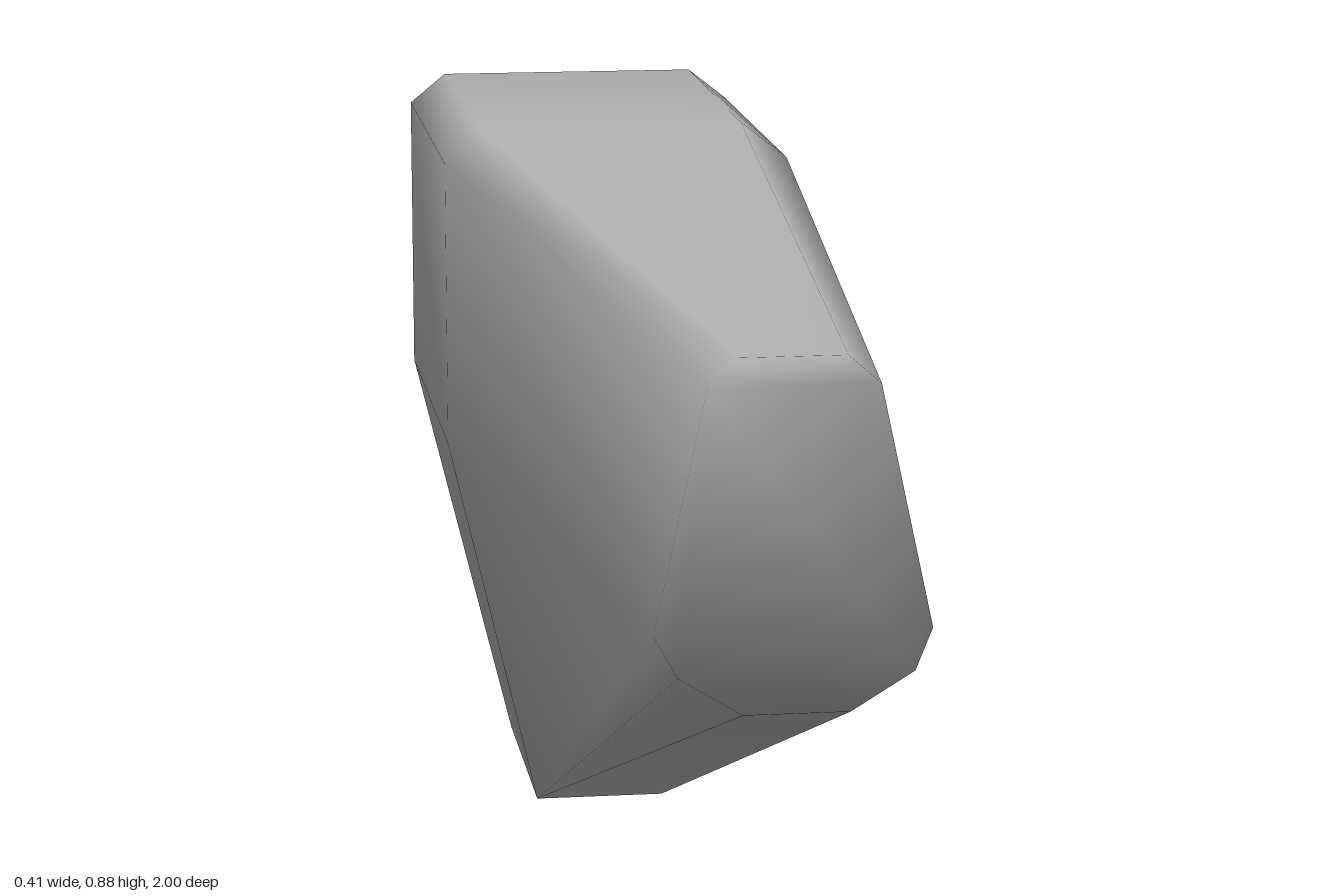
import * as THREE from 'three';
import { ConvexGeometry } from 'three/addons/geometries/ConvexGeometry.js';
import { mergeVertices } from 'three/addons/utils/BufferGeometryUtils.js';

// Corners of the left half; each is mirrored to the right
const corners = [
  // narrow nose
  [0.08, 0.85, 0.975], [0.05, 0.876, 0.97], [0.13, 0.62, 0.98], [0.11, 0.585, 1], [0.05, 0.548, 1],
  // broad flanks
  [0.205, 0.51, -0.33], [0.205, 0.85, -0.33], [0.205, 0.51, -0.84], [0.205, 0.85, -0.84],
  // flat top
  [0.16, 0.883, -0.4], [0.16, 0.885, -0.85],
  // chamfered back
  [0.11, 0.75, -1], [0.11, 0.56, -1],
  // small foot
  [0.08, 0, -0.52], [0.08, 0, -0.85], [0.07, 0.02, -0.865],
];

export function createModel() {
  const group = new THREE.Group();
  group.name = 'taperedBlock';

  const grey = new THREE.MeshStandardMaterial({ color: 0xb4b4b4 });
  grey.name = 'grey';

  const points = corners.flatMap(([x, y, z]) => [
    new THREE.Vector3(x, y, z),
    new THREE.Vector3(-x, y, z),
  ]);

  // Join the hull's faces so that the shading runs smoothly over its edges
  let hull = new ConvexGeometry(points);
  hull.deleteAttribute('normal');
  hull = mergeVertices(hull, 1e-4);
  hull.computeVertexNormals();

  const body = new THREE.Mesh(hull, grey);
  body.name = 'body';
  group.add(body);
  return group;
}
